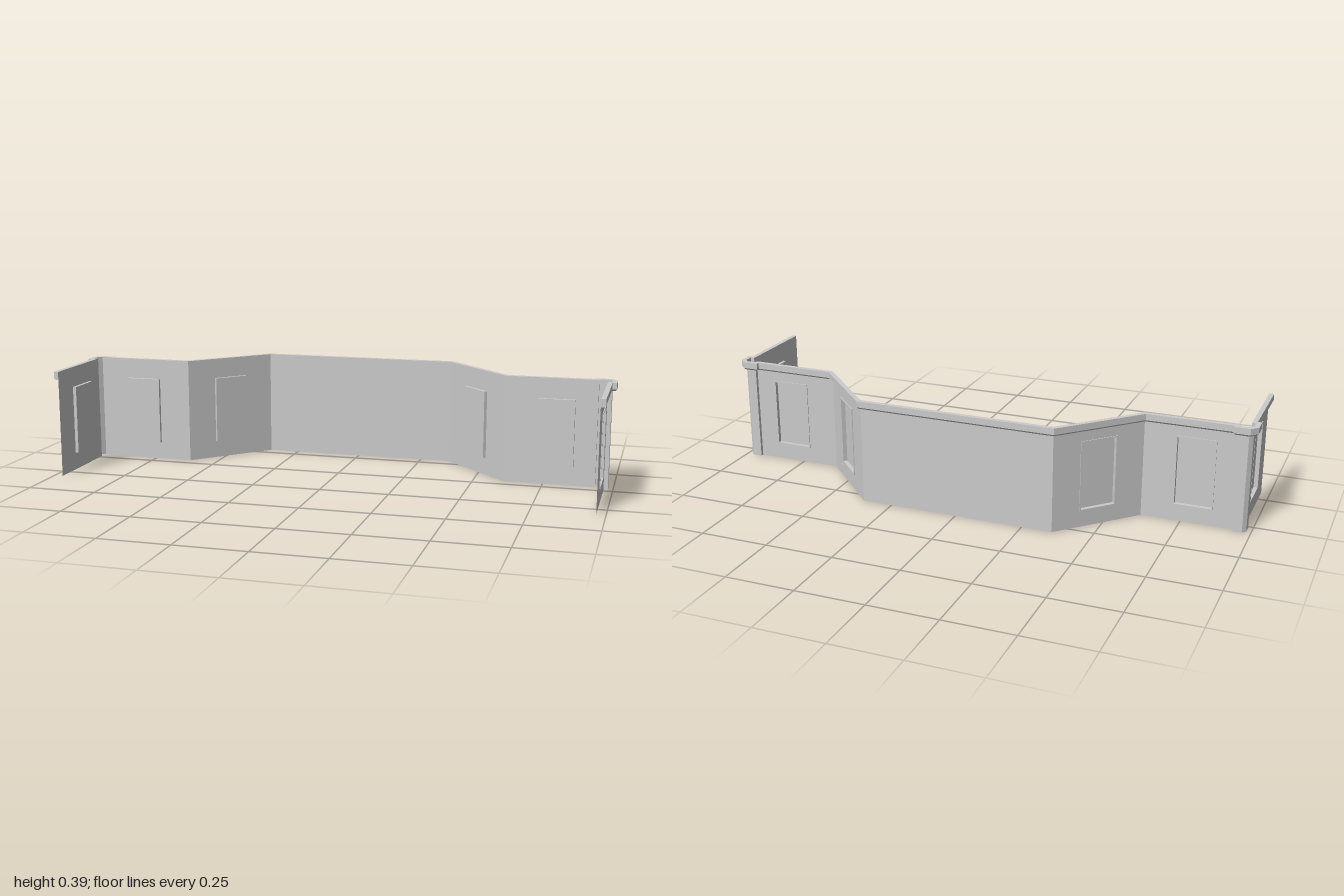
import * as THREE from 'three';

const HEIGHT = 0.388;
const stone = new THREE.MeshStandardMaterial({ color: 0xcccccc, side: THREE.DoubleSide });
stone.name = 'light grey';

// plan of one half [x, z], from the front end of the side wall to the back wall;
// panel = position along the wall that starts at this point
const half = [
  { p: [0.968, 0.314], name: 'sideWall', panel: 0.54 },
  { p: [0.968, -0.012], name: 'postReturn' },
  { p: [0.983, -0.012], name: 'postSide' },
  { p: [0.983, -0.043], name: 'postChamfer' },
  { p: [0.970, -0.056], name: 'postBack' },
  { p: [0.936, -0.056], name: 'postReturn' },
  { p: [0.936, -0.043], name: 'flankWall', panel: 0.44 },
  { p: [0.607, -0.043], name: 'angledWall', panel: 0.5 },
  { p: [0.361, -0.296], name: 'backWall' },
];
const mirror = ([x, z]) => [-x, z];
const path = [...half.map(h => h.p), ...half.map(h => mirror(h.p)).reverse()];
const parts = [...half, ...half.slice(0, -1).reverse()];

function rect(ShapeClass, cx, cy, w, h) {
  const s = new ShapeClass();
  s.moveTo(cx - w / 2, cy - h / 2);
  s.lineTo(cx + w / 2, cy - h / 2);
  s.lineTo(cx + w / 2, cy + h / 2);
  s.lineTo(cx - w / 2, cy + h / 2);
  s.closePath();
  return s;
}

function addMesh(group, name, geometry, x = 0, y = 0, z = 0) {
  const m = new THREE.Mesh(geometry, stone);
  m.name = name;
  m.position.set(x, y, z);
  group.add(m);
}

// one straight wall; local x runs along it, local z points outwards
function makeWall(a, b, name, t) {
  const g = new THREE.Group();
  g.name = name;
  const dx = b[0] - a[0], dz = b[1] - a[1], len = Math.hypot(dx, dz);
  g.position.set(a[0], 0, a[1]);
  g.rotation.y = Math.atan2(-dz, dx);
  const shape = rect(THREE.Shape, len / 2, HEIGHT / 2, len, HEIGHT);
  if (t !== undefined) {
    const cx = len * t, cy = 0.189, w = 0.132, h = 0.249, lip = 0.005;
    shape.holes.push(rect(THREE.Path, cx, cy, w, h));
    // raised rim on the outside
    const rim = rect(THREE.Shape, 0, 0, w + 2 * lip, h + 2 * lip);
    rim.holes.push(rect(THREE.Path, 0, 0, w, h));
    addMesh(g, 'panelRim', new THREE.ExtrudeGeometry(rim, { depth: 0.003, bevelEnabled: false }), cx, cy, 0);
    // sunken panel, open towards the outside
    const pan = new THREE.BoxGeometry(w, h, 0.012);
    const idx = Array.from(pan.index.array);
    idx.splice(24, 6);
    pan.setIndex(idx);
    pan.clearGroups();
    addMesh(g, 'sunkenPanel', pan, cx, cy, -0.006);
  }
  addMesh(g, 'wallFace', new THREE.ShapeGeometry(shape));
  return g;
}

// cornice: a [outward, height] profile swept along the plan with mitred corners
function makeCornice() {
  const profile = [[0, 0.359], [0.012, 0.359], [0.017, 0.365], [0.017, HEIGHT], [0, HEIGHT]];
  const normals = path.slice(1).map((b, i) => {
    const dx = b[0] - path[i][0], dz = b[1] - path[i][1], l = Math.hypot(dx, dz);
    return [-dz / l, dx / l];
  });
  const rings = path.map(([x, z], i) => {
    const n = normals[Math.max(i - 1, 0)], m = normals[Math.min(i, normals.length - 1)];
    const k = 1 + n[0] * m[0] + n[1] * m[1];
    return profile.map(([o, y]) => [x + o * (n[0] + m[0]) / k, y, z + o * (n[1] + m[1]) / k]);
  });
  const pos = [];
  const tri = (...v) => v.forEach(p => pos.push(...p));
  for (let i = 0; i < rings.length - 1; i++) {
    for (let j = 0; j < profile.length - 1; j++) {
      const a = rings[i][j], b = rings[i + 1][j], c = rings[i + 1][j + 1], d = rings[i][j + 1];
      tri(a, b, c);
      tri(a, c, d);
    }
  }
  // end caps
  const first = rings[0], last = rings[rings.length - 1];
  for (let j = 1; j < profile.length - 1; j++) {
    tri(first[0], first[j], first[j + 1]);
    tri(last[0], last[j + 1], last[j]);
  }
  const geo = new THREE.BufferGeometry();
  geo.setAttribute('position', new THREE.Float32BufferAttribute(pos, 3));
  geo.computeVertexNormals();
  return geo;
}

export function createModel() {
  const model = new THREE.Group();
  model.name = 'bayWall';
  parts.forEach((part, i) => {
    // the mirrored half runs the other way along each wall
    const t = part.panel === undefined ? undefined : i < half.length ? part.panel : 1 - part.panel;
    model.add(makeWall(path[i], path[i + 1], part.name, t));
  });
  addMesh(model, 'cornice', makeCornice());
  return model;
}
